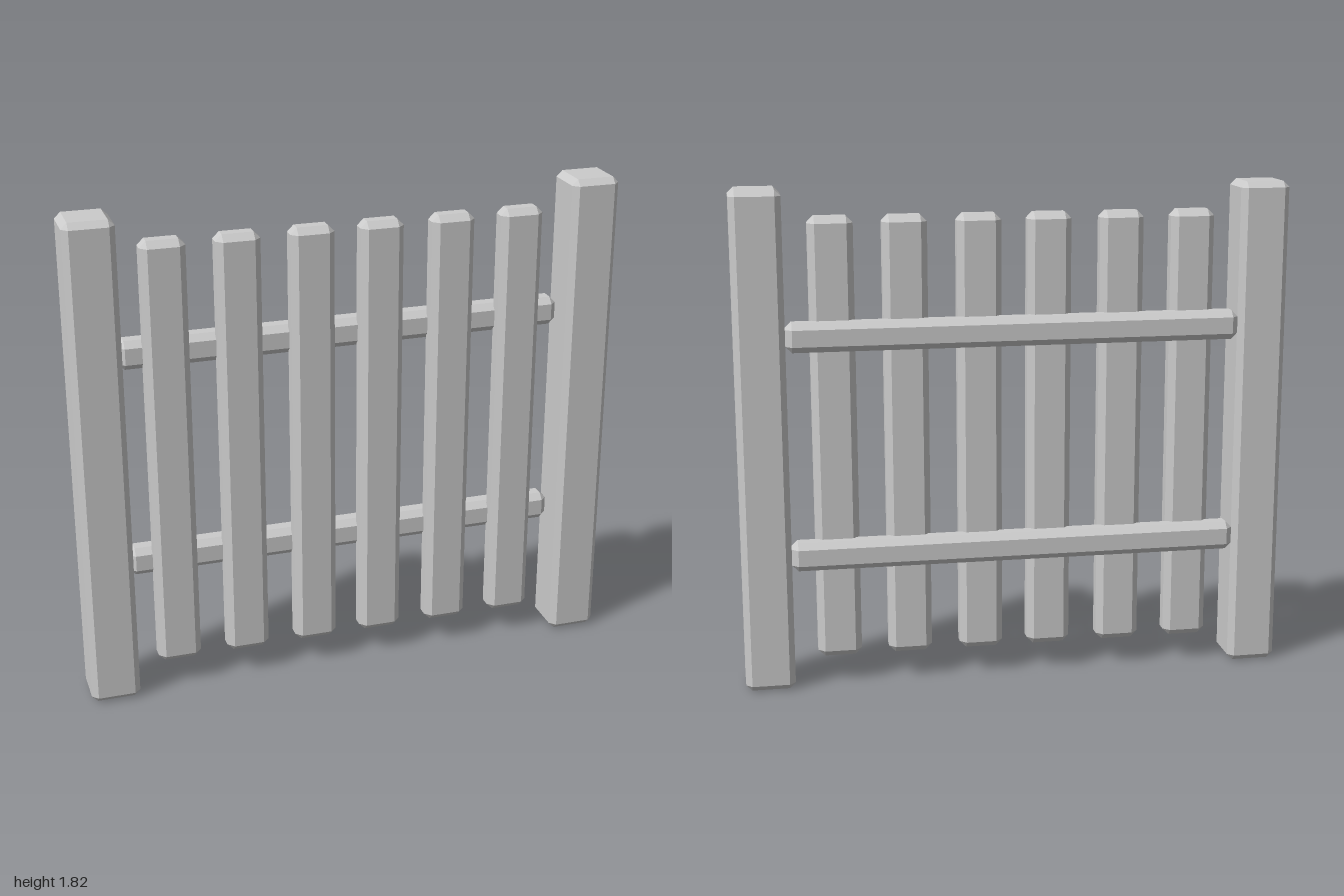
import * as THREE from 'three';
import { ConvexGeometry } from 'three/addons/geometries/ConvexGeometry.js';

const material = new THREE.MeshStandardMaterial({ color: 0xcccccc, flatShading: true });

// Box with all edges and corners cut by a bevel b
function bevelledBox(name, w, h, d, b, x, y, z) {
  const points = [];
  for (const sx of [-1, 1]) for (const sy of [-1, 1]) for (const sz of [-1, 1]) {
    const [X, Y, Z] = [w / 2, h / 2, d / 2];
    points.push(
      new THREE.Vector3(sx * X, sy * (Y - b), sz * (Z - b)),
      new THREE.Vector3(sx * (X - b), sy * Y, sz * (Z - b)),
      new THREE.Vector3(sx * (X - b), sy * (Y - b), sz * Z));
  }
  const mesh = new THREE.Mesh(new ConvexGeometry(points), material);
  mesh.name = name;
  mesh.position.set(x, y, z);
  return mesh;
}

export function createModel() {
  const fence = new THREE.Group();
  fence.name = 'fence';

  // End posts
  for (const [name, x] of [['leftPost', 0.91], ['rightPost', -0.91]]) {
    fence.add(bevelledBox(name, 0.18, 1.82, 0.18, 0.022, x, 0.91, 0));
  }

  // Horizontal rails behind the pickets
  for (const [name, y] of [['lowerRail', 0.501], ['upperRail', 1.302]]) {
    fence.add(bevelledBox(name, 1.64, 0.106, 0.088, 0.023, 0, y, -0.05));
  }

  // Upright pickets, slightly uneven in spacing
  [-0.656, -0.394, -0.129, 0.125, 0.39, 0.651].forEach((x, i) => {
    fence.add(bevelledBox(`picket${i + 1}`, 0.16, 1.62, 0.088, 0.024, x, 0.91, 0));
  });

  return fence;
}
